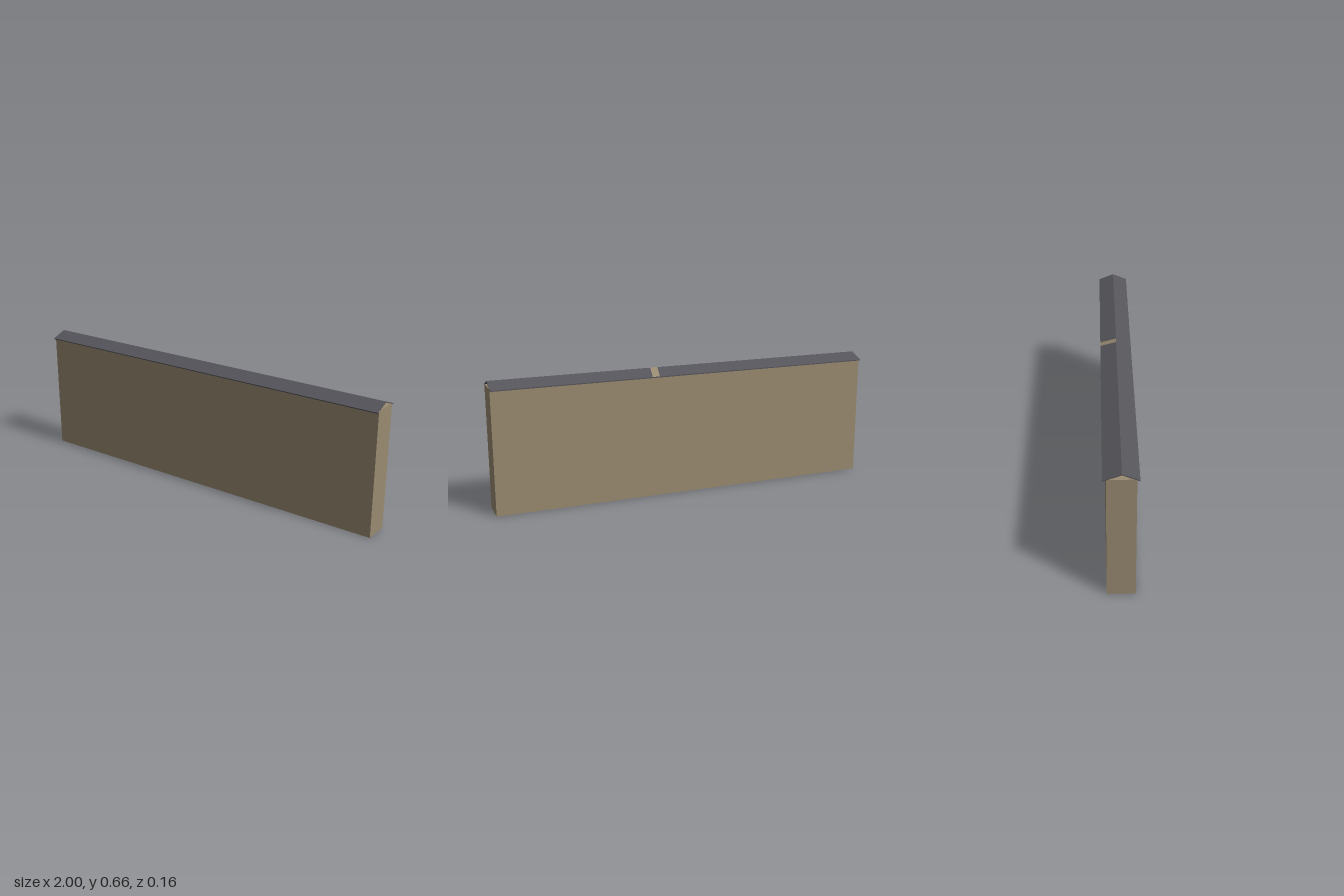
import * as THREE from 'three';

const LENGTH = 2;
const RIDGE = [0.003, 0.656];
const EAVE_FRONT = [0.079, 0.625];
const EAVE_BACK = [-0.078, 0.625];
const THICKNESS = 0.005;

export function createModel() {
  const wallTan = new THREE.MeshStandardMaterial({ color: 0x9a8b72 });
  const roofGrey = new THREE.MeshStandardMaterial({ color: 0x56555b });
  const patchTan = new THREE.MeshStandardMaterial({ color: 0x9a8b72, side: THREE.DoubleSide });
  wallTan.name = 'wallTan';
  roofGrey.name = 'roofGrey';
  patchTan.name = 'patchTan';

  const model = new THREE.Group();
  model.name = 'ridgedWall';
  const add = (name, geometry, material) => {
    const mesh = new THREE.Mesh(geometry, material);
    mesh.name = name;
    model.add(mesh);
    return mesh;
  };

  // Solid wall with a flat top
  add('wall', new THREE.BoxGeometry(LENGTH, 0.629, 0.129), wallTan).position.set(0, 0.3145, 0.002);

  // Thin folded coping, open at both gable ends; the profile runs in z and y
  const outer = [EAVE_FRONT, RIDGE, EAVE_BACK];
  const inner = outer.map(([z, y]) => [z, y - THICKNESS]).reverse();
  const profile = new THREE.Shape([...outer, ...inner].map(([z, y]) => new THREE.Vector2(z, y)));
  const coping = new THREE.ExtrudeGeometry(profile, { depth: LENGTH, bevelEnabled: false });
  coping.translate(0, 0, -LENGTH / 2).rotateY(-Math.PI / 2);
  add('coping', coping, roofGrey);

  // Slanted tan strip lying on the back slope, ridge to eave
  const lift = 0.0006;
  const strip = new THREE.BufferGeometry();
  strip.setAttribute('position', new THREE.Float32BufferAttribute([
    0.144, RIDGE[1] + lift, RIDGE[0],
    0.182, RIDGE[1] + lift, RIDGE[0],
    0.198, EAVE_BACK[1] + lift, EAVE_BACK[0],
    0.160, EAVE_BACK[1] + lift, EAVE_BACK[0],
  ], 3));
  strip.setIndex([0, 1, 2, 0, 2, 3]);
  strip.computeVertexNormals();
  add('slopeStrip', strip, patchTan);

  return model;
}
